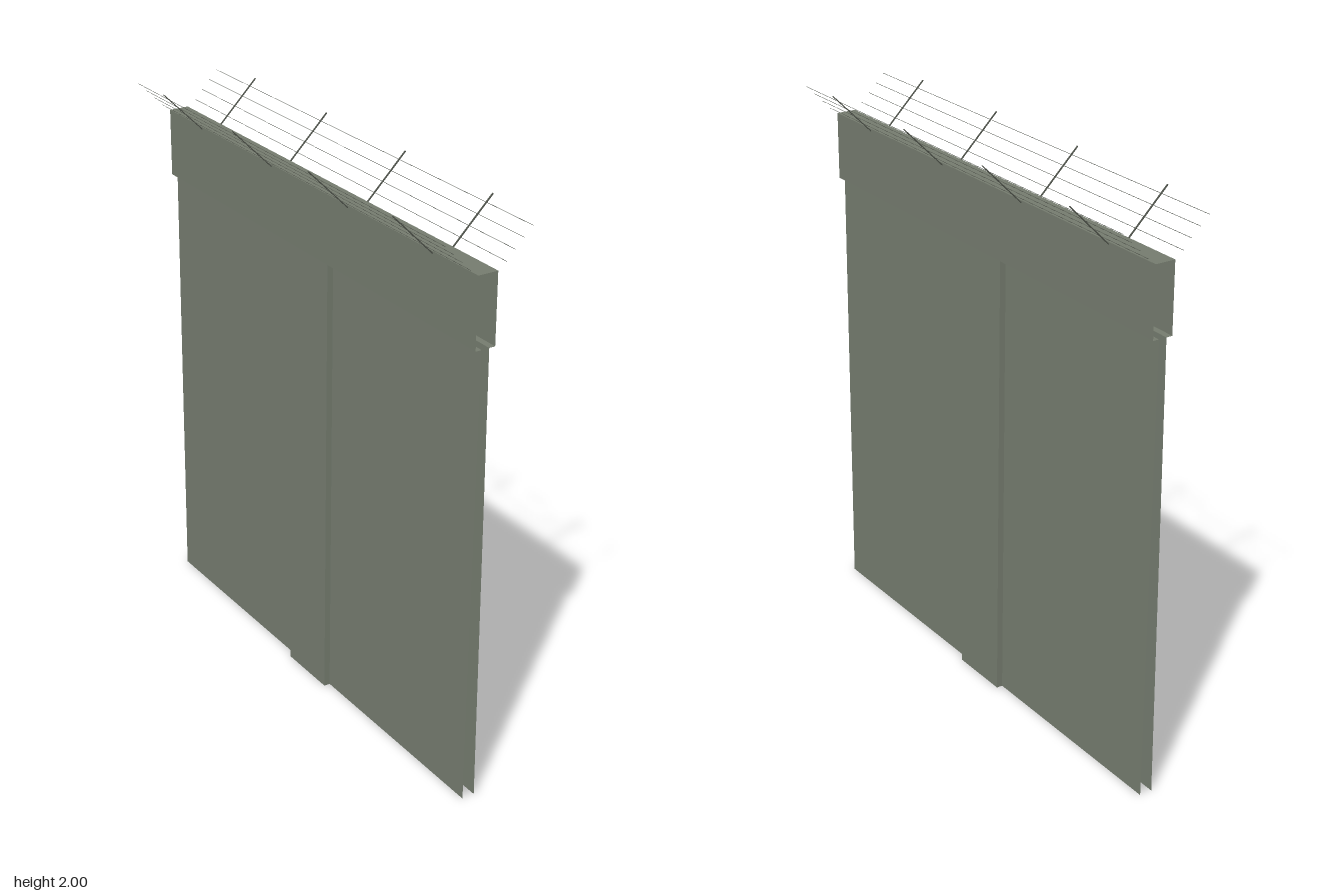
import * as THREE from 'three';

const HALF = 0.923;                 // half length along z
const PIER = 0.115;                 // half width of the central pier
const TOP = 1.86, LEDGE = 1.618;    // top of the wall, underside of the header
const OUT_TOP = 0.036, OUT_BASE = 0.045;  // pier face, leaning outwards to the base
const IN_TOP = 0.014, IN_BASE = 0.023;    // recessed panel face

export function createModel() {
  const concrete = new THREE.MeshStandardMaterial({ color: 0x747b6e, side: THREE.DoubleSide });
  const metal = new THREE.MeshStandardMaterial({ color: 0x50544c });
  concrete.name = 'grey green concrete';
  metal.name = 'grey metal';

  const model = new THREE.Group();
  model.name = 'wallSegment';

  // Flat four-cornered sheet, corners counter-clockwise on the +x side; s = -1 mirrors it
  function sheet(name, corners, s = 1) {
    const p = corners.map(([x, y, z]) => [x * s, y, z]);
    if (s < 0) p.reverse();
    const g = new THREE.BufferGeometry();
    g.setAttribute('position', new THREE.Float32BufferAttribute(p.flat(), 3));
    g.setIndex([0, 1, 2, 0, 2, 3]);
    g.computeVertexNormals();
    const m = new THREE.Mesh(g, concrete);
    m.name = name;
    model.add(m);
  }
  // Upright sheet facing +x between two z values
  const face = (name, x0, y0, x1, y1, z0, z1, s) =>
    sheet(name, [[x0, y0, z1], [x0, y0, z0], [x1, y1, z0], [x1, y1, z1]], s);

  // Top of the header
  sheet('headerTop', [[-OUT_TOP, TOP, HALF], [OUT_TOP, TOP, HALF], [OUT_TOP, TOP, -HALF], [-OUT_TOP, TOP, -HALF]]);

  for (const s of [1, -1]) {
    const side = s > 0 ? 'left' : 'right';
    face(side + 'Header', OUT_TOP, LEDGE, OUT_TOP, TOP, -HALF, HALF, s);
    face(side + 'Pier', OUT_BASE, 0, OUT_TOP, LEDGE, -PIER, PIER, s);
    // Pier cheeks
    sheet(side + 'PierFrontCheek', [[IN_BASE, 0, PIER], [OUT_BASE, 0, PIER], [OUT_TOP, LEDGE, PIER], [IN_TOP, LEDGE, PIER]], s);
    sheet(side + 'PierBackCheek', [[OUT_BASE, 0, -PIER], [IN_BASE, 0, -PIER], [IN_TOP, LEDGE, -PIER], [OUT_TOP, LEDGE, -PIER]], s);
    // Recessed panels and the header underside above them
    for (const [end, z0, z1] of [['Front', PIER, HALF], ['Back', -HALF, -PIER]]) {
      face(side + end + 'Panel', IN_BASE, 0, IN_TOP, LEDGE, z0, z1, s);
      sheet(side + end + 'Ledge', [[IN_TOP, LEDGE, z0], [OUT_TOP, LEDGE, z0], [OUT_TOP, LEDGE, z1], [IN_TOP, LEDGE, z1]], s);
    }

    // Slanted brackets carrying four wires
    const fence = new THREE.Group();
    fence.name = side + 'WireFence';
    for (const z of [-0.693, -0.231, 0.231, 0.693]) {
      const bracket = new THREE.Mesh(new THREE.BoxGeometry(0.222, 0.003, 0.005), metal);
      bracket.name = 'bracket';
      bracket.position.set(s * 0.104, 1.921, z);
      bracket.rotation.z = s * Math.PI / 4;
      fence.add(bracket);
    }
    for (let i = 0; i < 4; i++) {
      const wire = new THREE.Mesh(new THREE.BoxGeometry(0.0012, 0.0012, HALF * 2), metal);
      wire.name = 'wire';
      wire.position.set(s * (0.065 + i * 0.031), 1.883 + i * 0.031, 0);
      wire.rotation.z = s * Math.PI / 4;
      fence.add(wire);
    }
    model.add(fence);
  }
  return model;
}
